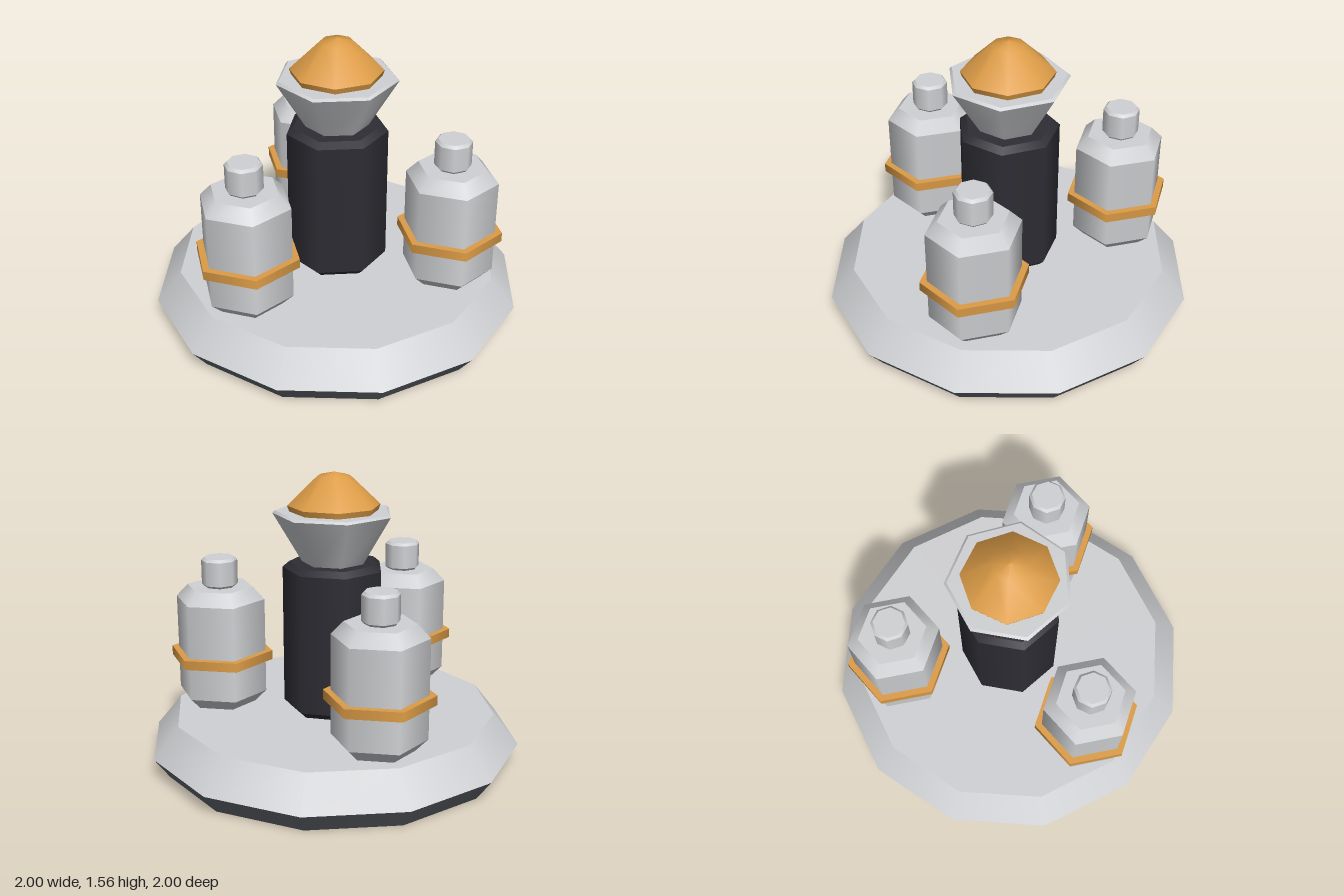
import * as THREE from 'three';

const mat = (name, color) => {
  const m = new THREE.MeshStandardMaterial({ color });
  m.name = name;
  return m;
};

export function createModel() {
  const lightGrey = mat('lightGrey', 0xd0d1d4);
  const midGrey = mat('midGrey', 0x656a70);
  const charcoal = mat('charcoal', 0x2e2d34);
  const black = mat('black', 0x222224);
  const amber = mat('amber', 0xdc9c47);

  // Stack of smooth-sided frustums from [radius, y] rings, capped at both ends.
  // The first corner of each polygon points to +x.
  function stack(name, rings, sides, material) {
    const group = new THREE.Group();
    group.name = name;
    const add = (geometry, y) => {
      const mesh = new THREE.Mesh(geometry, material);
      mesh.name = name + 'Section';
      mesh.position.y = y;
      group.add(mesh);
      return mesh;
    };
    for (let i = 0; i < rings.length - 1; i++) {
      const [r0, y0] = rings[i];
      const [r1, y1] = rings[i + 1];
      add(new THREE.CylinderGeometry(r1, r0, y1 - y0, sides, 1, true, Math.PI / 2), (y0 + y1) / 2);
    }
    const [rb, yb] = rings[0];
    const [rt, yt] = rings[rings.length - 1];
    add(new THREE.CircleGeometry(rb, sides), yb).rotation.x = Math.PI / 2;
    add(new THREE.CircleGeometry(rt, sides), yt).rotation.x = -Math.PI / 2;
    return group;
  }

  const model = new THREE.Group();
  model.name = 'tankPlatform';

  // Twelve-sided base: dark underside, grey lower bevel, light upper bevel and deck
  const underside = new THREE.Mesh(new THREE.CircleGeometry(0.92, 12), black);
  underside.name = 'baseUnderside';
  underside.rotation.x = Math.PI / 2;
  const lowerBevel = new THREE.Mesh(
    new THREE.CylinderGeometry(1, 0.92, 0.11, 12, 1, true), midGrey);
  lowerBevel.name = 'baseLowerBevel';
  lowerBevel.position.y = 0.055;
  const deck = stack('baseDeck', [[1, 0.11], [0.866, 0.275]], 12, lightGrey);
  model.add(underside, lowerBevel, deck);

  // Seven-sided central column with a flared cup
  model.add(stack('column',
    [[0.235, 0.275], [0.27, 0.31], [0.27, 1.055], [0.235, 1.085]], 7, charcoal));
  model.add(stack('cup',
    [[0.165, 1.08], [0.32, 1.343], [0.306, 1.355]], 7, lightGrey));

  // Amber dome: short flared rim below a smooth faceted top
  model.add(stack('domeRim', [[0.232, 1.352], [0.243, 1.385]], 8, amber));
  const dome = new THREE.Mesh(new THREE.LatheGeometry(
    [[0.243, 1.385], [0.085, 1.537], [0, 1.557]].map(p => new THREE.Vector2(...p)), 8), amber);
  dome.name = 'dome';
  model.add(dome);

  // Three hexagonal tanks evenly spaced around the column
  for (let i = 0; i < 3; i++) {
    const angle = Math.PI + (i * Math.PI * 2) / 3;
    const tank = new THREE.Group();
    tank.name = 'tank' + (i + 1);
    tank.add(stack('tankBody',
      [[0.18, 0.275], [0.243, 0.34], [0.243, 0.86], [0.18, 0.927]], 6, lightGrey));
    tank.add(stack('tankCollar', [[0.281, 0.522], [0.281, 0.572]], 6, amber));
    tank.add(stack('tankCap',
      [[0.082, 0.925], [0.096, 0.94], [0.096, 1.07], [0.082, 1.085]], 8, lightGrey));
    tank.position.set(Math.cos(angle) * 0.62, 0, Math.sin(angle) * 0.62);
    model.add(tank);
  }

  return model;
}
